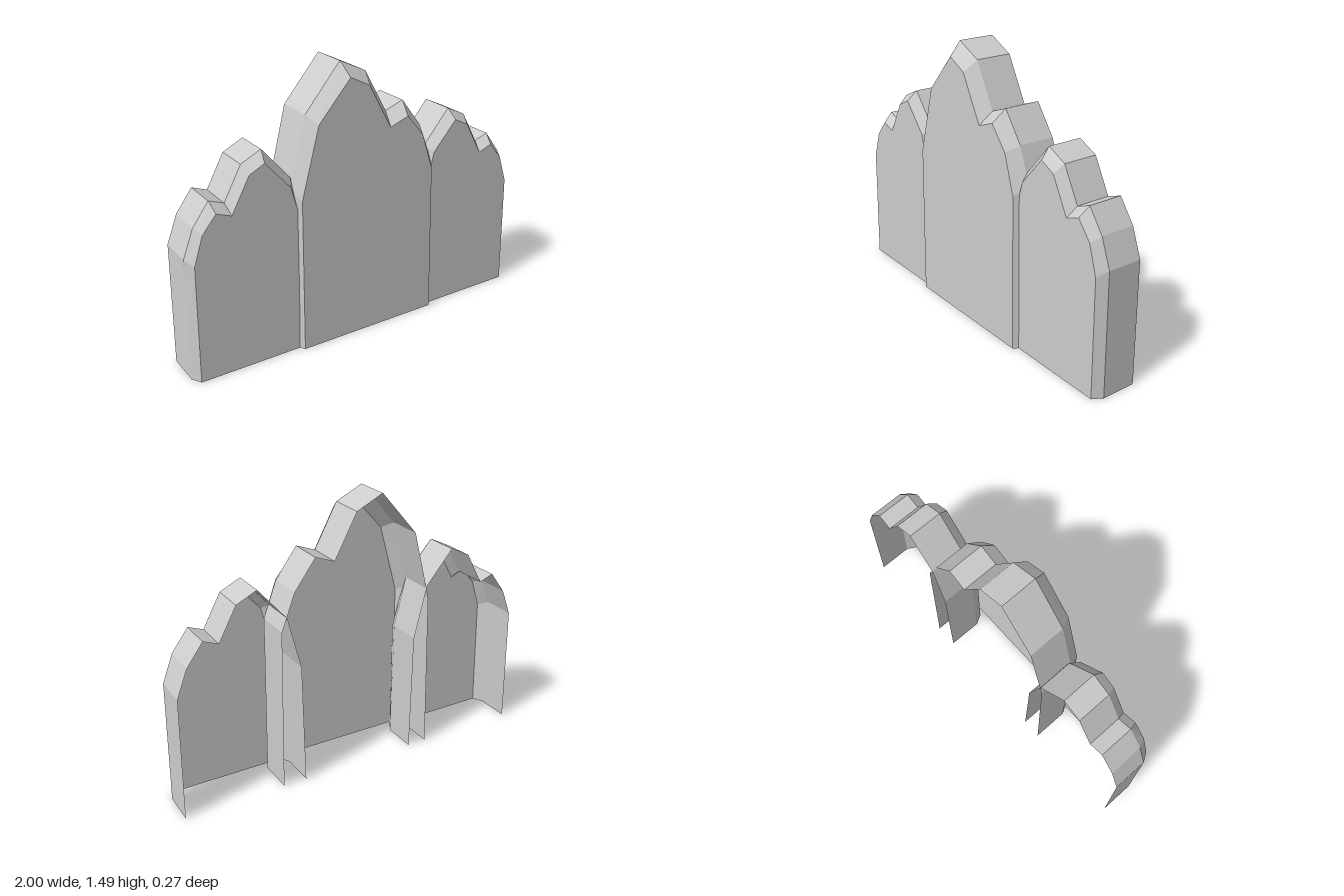
import * as THREE from 'three';

// Ridge outline, left to right: outer x, y, then bevelled front x, y
const RIDGE = [
  [-0.435, 0, -0.395, 0],
  [-0.42, 0.875, -0.39, 0.84],
  [-0.325, 1.25, -0.29, 1.21],
  [-0.125, 1.485, -0.11, 1.415],
  [0.02, 1.415, 0, 1.36],
  [0.145, 1.185, 0.13, 1.12],
  [0.25, 1.225, 0.235, 1.16],
  [0.365, 1.07, 0.335, 1.04],
  [0.44, 0.875, 0.40, 0.84],
  [0.455, 0, 0.415, 0],
];
const BACK = -0.135;

const material = new THREE.MeshStandardMaterial({
  color: 0xcccccc, flatShading: true, side: THREE.DoubleSide,
});

// Hollow shell, open at the back and bottom: wall, bevel and flat front
function ridgeShell(name, { scale = 1, shift = 0, mirror = 1, bevelZ, frontZ }) {
  const place = (x, y) => new THREE.Vector2(mirror * (x * scale + shift), y * scale);
  const rows = mirror < 0 ? [...RIDGE].reverse() : RIDGE;
  const outer = rows.map(([x, y]) => place(x, y));
  const inner = rows.map(([, , x, y]) => place(x, y));
  const positions = [];

  const strip = (rear, rearZ, fore, foreZ) => {
    for (let i = 0; i < rear.length - 1; i++) {
      const f0 = [fore[i].x, fore[i].y, foreZ];
      const f1 = [fore[i + 1].x, fore[i + 1].y, foreZ];
      const r0 = [rear[i].x, rear[i].y, rearZ];
      const r1 = [rear[i + 1].x, rear[i + 1].y, rearZ];
      positions.push(...f0, ...f1, ...r1, ...f0, ...r1, ...r0);
    }
  };
  strip(outer, BACK, outer, bevelZ);
  strip(outer, bevelZ, inner, frontZ);

  const front = new THREE.ShapeGeometry(new THREE.Shape(inner)).toNonIndexed();
  front.translate(0, 0, frontZ);
  positions.push(...front.attributes.position.array);

  const geometry = new THREE.BufferGeometry();
  geometry.setAttribute('position', new THREE.Float32BufferAttribute(positions, 3));
  geometry.computeVertexNormals();
  const mesh = new THREE.Mesh(geometry, material);
  mesh.name = name;
  return mesh;
}

export function createModel() {
  const model = new THREE.Group();
  model.name = 'mountainRange';

  // Tall centre ridge, standing slightly proud of its neighbours
  model.add(ridgeShell('centreRidge', { bevelZ: 0.065, frontZ: 0.135 }));

  // Smaller mirrored ridges tucked behind it on both sides
  const small = { scale: 0.756, shift: 0.655, bevelZ: 0.055, frontZ: 0.108 };
  model.add(ridgeShell('leftRidge', small));
  model.add(ridgeShell('rightRidge', { ...small, mirror: -1 }));
  return model;
}
